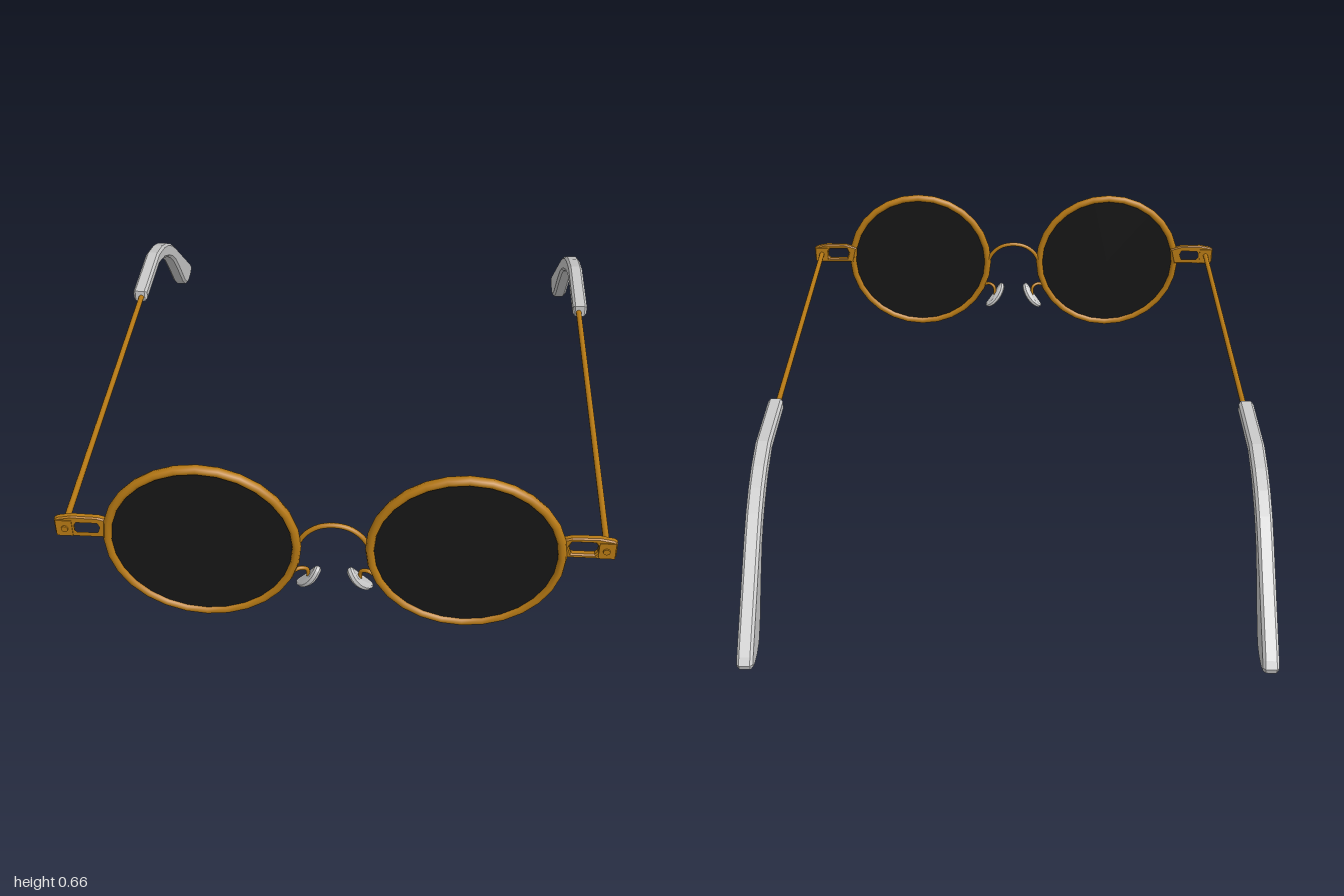
import * as THREE from 'three';

const gold = new THREE.MeshStandardMaterial({ color: 0xb87a14 });
const dark = new THREE.MeshStandardMaterial({ color: 0x161616 });
const grey = new THREE.MeshStandardMaterial({ color: 0xcccccc });

function add(group, name, geometry, material, x = 0, y = 0, z = 0) {
  const mesh = new THREE.Mesh(geometry, material);
  mesh.name = name;
  mesh.position.set(x, y, z);
  group.add(mesh);
  return mesh;
}

// Round wire through a few points
function wire(points, radius, segments = 16) {
  const curve = new THREE.CatmullRomCurve3(points.map(p => new THREE.Vector3(...p)));
  return new THREE.TubeGeometry(curve, segments, radius, 8);
}

function polygon(points, Type = THREE.Shape) {
  return new Type(points.map(p => new THREE.Vector2(...p)));
}

// Extrusion centred on its depth, with a chamfer kept inside the outline
function slab(shape, depth, bevel) {
  const g = new THREE.ExtrudeGeometry(shape, {
    depth: depth - 2 * bevel, bevelThickness: bevel, bevelSize: bevel,
    bevelOffset: -bevel, bevelSegments: 1, curveSegments: 16,
  });
  return g.translate(0, 0, bevel - depth / 2);
}

// Side outline of the curved ear tip as [-z, y]
const tipOutline = [
  [0.18, 0.44], [0.435, 0.44], [0.53, 0.412], [0.60, 0.38], [0.67, 0.335], [0.73, 0.285],
  [0.985, 0.05], [1.0, 0.03], [0.995, 0.013], [0.965, 0.003], [0.92, 0.004], [0.88, 0.017],
  [0.84, 0.055], [0.76, 0.165], [0.70, 0.24], [0.65, 0.285], [0.60, 0.32], [0.52, 0.365],
  [0.42, 0.4], [0.18, 0.4],
];

function buildSide(s) {
  const side = new THREE.Group();
  side.name = s > 0 ? 'leftSide' : 'rightSide';

  // Rim and lens
  const rim = add(side, 'rim', new THREE.TorusGeometry(0.267, 0.0135, 8, 28), gold, s * 0.37, 0.38, 0.985);
  rim.scale.z = 1.1;
  const lens = add(side, 'lens', new THREE.CylinderGeometry(0.264, 0.264, 0.01, 28), dark, s * 0.37, 0.38, 0.985);
  lens.rotation.x = Math.PI / 2;

  // End piece: an open loop joining the rim to the hinge
  const end = polygon([
    [0.635, 0.38], [0.775, 0.38], [0.785, 0.39], [0.785, 0.44], [0.775, 0.447],
    [0.735, 0.455], [0.66, 0.453], [0.62, 0.44],
  ].map(([x, y]) => [s * x, y]));
  end.holes.push(polygon([
    [0.66, 0.395], [0.725, 0.395], [0.733, 0.405], [0.733, 0.425], [0.725, 0.438], [0.66, 0.438], [0.652, 0.42],
  ].map(([x, y]) => [s * x, y]), THREE.Path));
  add(side, 'endPiece', slab(end, 0.02, 0.004), gold, 0, 0, 0.976);
  add(side, 'hingeBlock', new THREE.BoxGeometry(0.046, 0.056, 0.025), gold, s * 0.758, 0.413, 0.976);
  const screw = add(side, 'hingeScrew', new THREE.CylinderGeometry(0.01, 0.01, 0.006, 12), gold, s * 0.756, 0.413, 0.99);
  screw.rotation.x = Math.PI / 2;

  // Temple wire and ear tip
  const temple = add(side, 'temple', new THREE.CylinderGeometry(0.009, 0.009, 1.19, 10), gold, s * 0.758, 0.416, 0.375);
  temple.rotation.x = Math.PI / 2;
  const tip = add(side, 'earTip', slab(polygon(tipOutline), 0.048, 0.008), grey, s * 0.762, 0, 0);
  tip.rotation.y = Math.PI / 2;

  // Nose pad: an oval slab, bent along its length
  const oval = new THREE.Shape();
  oval.absellipse(0, 0, 0.024, 0.056, 0, Math.PI * 2);
  const padGeometry = slab(oval, 0.022, 0.006).rotateY(Math.PI / 2);
  const p = padGeometry.attributes.position;
  for (let i = 0; i < p.count; i++) p.setX(i, p.getX(i) + s * 3 * p.getY(i) ** 2);
  padGeometry.computeVertexNormals();
  const pad = add(side, 'nosePad', padGeometry, grey, s * 0.068, 0.236, 0.962);
  pad.rotation.set(0.1, s * 0.25, s * 0.62);
  add(side, 'nosePadArm', wire([
    [s * 0.118, 0.278, 0.982], [s * 0.096, 0.285, 0.975], [s * 0.078, 0.275, 0.967], [s * 0.074, 0.243, 0.962],
  ], 0.006), gold);
  return side;
}

export function createModel() {
  const model = new THREE.Group();
  model.name = 'roundGlasses';
  for (const s of [1, -1]) model.add(buildSide(s));

  // Arched bridge
  add(model, 'bridge', wire([
    [-0.1, 0.385, 0.98], [-0.08, 0.42, 0.979], [-0.045, 0.447, 0.977], [0, 0.456, 0.976],
    [0.045, 0.447, 0.977], [0.08, 0.42, 0.979], [0.1, 0.385, 0.98],
  ], 0.0075, 24), gold);
  return model;
}
